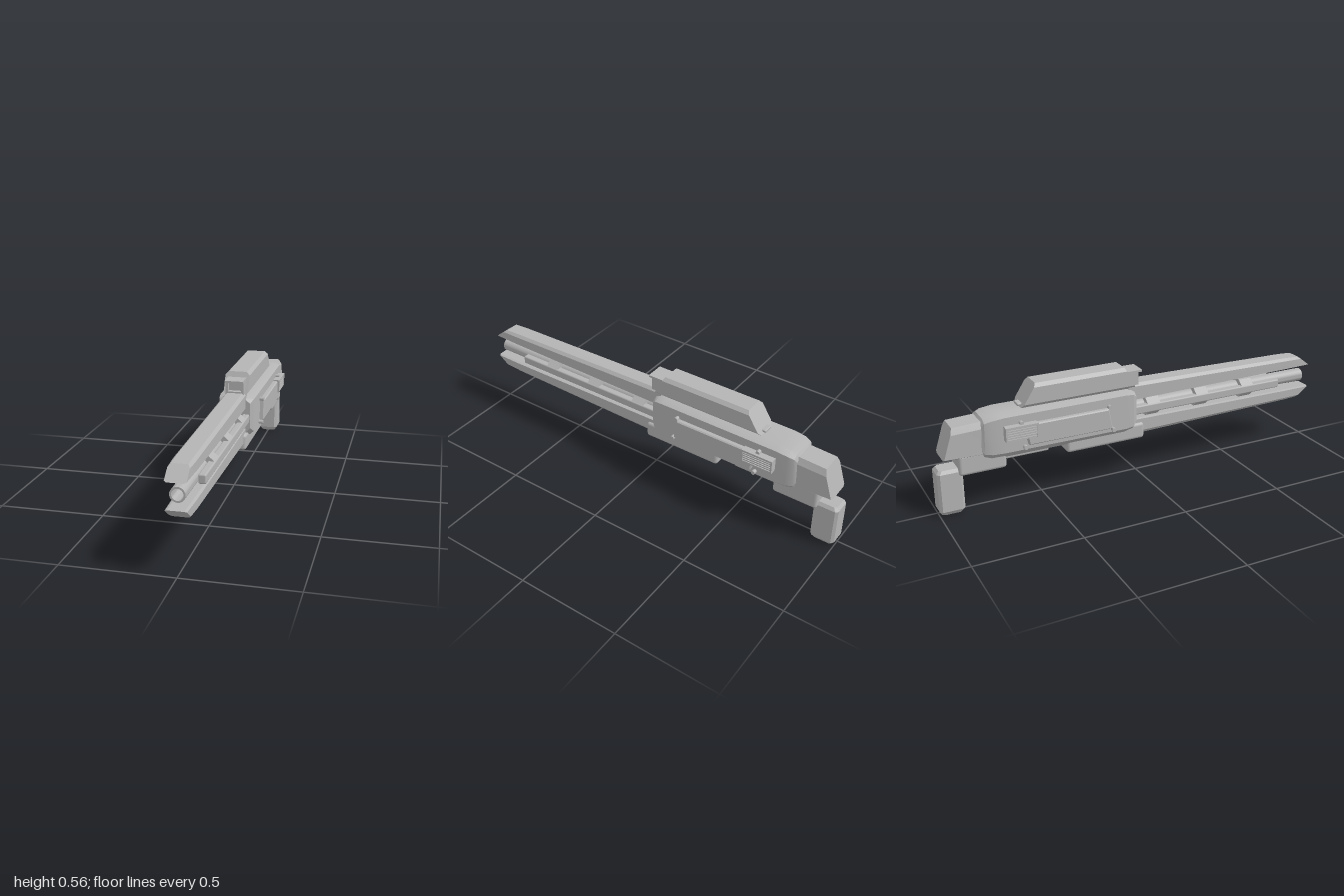
import * as THREE from 'three';
import { toCreasedNormals } from 'three/addons/utils/BufferGeometryUtils.js';
import { RoundedBoxGeometry } from 'three/addons/geometries/RoundedBoxGeometry.js';

// Chamfered section: bottom z, top z, half width, bottom y, top y, x chamfer, top chamfer, bottom chamfer
function section([zb, zt, w, y0, y1, cx, ct, cb]) {
  const n = w - cx;
  return [[n, y0], [w, y0 + cb], [w, y1 - ct], [n, y1], [-n, y1], [-w, y1 - ct], [-w, y0 + cb], [-n, y0]]
    .map(([x, y]) => [x, y, zb + (zt - zb) * (y - y0) / (y1 - y0)]);
}

// Skin over sections listed from back to front, with both ends capped
function loft(list, crease = 0.3) {
  const rings = list.map(section), pos = [];
  const tri = (a, b, c) => pos.push(...a, ...b, ...c);
  for (let k = 0; k < rings.length - 1; k++) {
    const a = rings[k], b = rings[k + 1];
    for (let i = 0; i < 8; i++) {
      const j = (i + 1) % 8;
      tri(a[i], a[j], b[j]);
      tri(a[i], b[j], b[i]);
    }
  }
  const back = rings[0], front = rings[rings.length - 1];
  for (let i = 1; i < 7; i++) {
    tri(back[0], back[i + 1], back[i]);
    tri(front[0], front[i], front[i + 1]);
  }
  const g = new THREE.BufferGeometry();
  g.setAttribute('position', new THREE.Float32BufferAttribute(pos, 3));
  return toCreasedNormals(g, crease);
}

export function createModel() {
  const model = new THREE.Group();
  model.name = 'longGun';
  const grey = new THREE.MeshStandardMaterial({ color: 0xb4b4b4 });
  grey.name = 'plainGrey';

  const add = (name, geometry, x = 0, y = 0, z = 0) => {
    const mesh = new THREE.Mesh(geometry, grey);
    mesh.name = name;
    mesh.position.set(x, y, z);
    model.add(mesh);
    return mesh;
  };
  // Box given by its limits, rounded when r > 0
  const box = (name, x0, x1, y0, y1, z0, z1, r = 0) => {
    const size = [x1 - x0, y1 - y0, z1 - z0];
    const g = r ? new RoundedBoxGeometry(...size, 2, r) : new THREE.BoxGeometry(...size);
    return add(name, g, (x0 + x1) / 2, (y0 + y1) / 2, (z0 + z1) / 2);
  };

  // Receiver with softened ends
  add('receiver', loft([
    [-0.797, -0.79, 0.068, 0.262, 0.425, 0.025, 0.02, 0.03],
    [-0.785, -0.78, 0.078, 0.245, 0.438, 0.03, 0.016, 0.03],
    [-0.75, -0.75, 0.088, 0.236, 0.446, 0.035, 0.014, 0.035],
    [-0.69, -0.69, 0.09, 0.234, 0.452, 0.038, 0.014, 0.035],
    [-0.09, -0.09, 0.09, 0.234, 0.452, 0.038, 0.014, 0.035],
    [-0.05, -0.05, 0.085, 0.242, 0.446, 0.036, 0.014, 0.03],
    [-0.03, -0.03, 0.072, 0.262, 0.435, 0.025, 0.02, 0.03],
  ], 0.45));

  // Upper and lower barrel rails with slanted noses
  add('upperRail', loft([
    [-0.06, -0.06, 0.05, 0.387, 0.472, 0.014, 0.014, 0.004],
    [0.86, 0.86, 0.049, 0.399, 0.458, 0.013, 0.013, 0.004],
    [1.0, 0.93, 0.045, 0.4, 0.454, 0.01, 0.012, 0.004],
  ], 0.1));
  add('lowerRail', loft([
    [-0.06, -0.06, 0.05, 0.209, 0.291, 0.012, 0.004, 0.016],
    [0.86, 0.86, 0.049, 0.228, 0.286, 0.012, 0.004, 0.014],
    [0.93, 1.0, 0.045, 0.231, 0.285, 0.01, 0.004, 0.012],
  ], 0.1));

  // Hollow barrel
  const profile = [[0.033, -0.05], [0.033, 0.97], [0.025, 0.97], [0.025, 0.8], [0, 0.8]]
    .map(([r, z]) => new THREE.Vector2(r, z));
  const barrel = new THREE.LatheGeometry(profile, 32);
  barrel.rotateX(Math.PI / 2);
  add('barrel', toCreasedNormals(barrel, 0.6), 0, 0.34, 0);

  // Collars around the barrel
  for (const z of [0.07, 0.34, 0.605]) {
    add('barrelCollar', loft([
      [z - 0.034, z - 0.034, 0.066, 0.295, 0.386, 0.032, 0.028, 0.028],
      [z + 0.034, z + 0.034, 0.066, 0.295, 0.386, 0.032, 0.028, 0.028],
    ]));
  }

  // Top housing with sloping ends
  add('topHousing', loft([
    [-0.595, -0.525, 0.06, 0.452, 0.56, 0.015, 0.016, 0.016],
    [-0.025, -0.08, 0.06, 0.452, 0.56, 0.015, 0.016, 0.016],
  ]));
  box('housingCatch', -0.025, 0.025, 0.455, 0.468, -0.606, -0.57, 0.005);

  // Framed sight in front of the housing
  const frame = new THREE.Shape();
  frame.moveTo(-0.044, 0.455).lineTo(0.044, 0.455).lineTo(0.044, 0.527).lineTo(-0.044, 0.527).closePath();
  const opening = new THREE.Path();
  opening.moveTo(-0.033, 0.478).lineTo(-0.033, 0.519).lineTo(0.033, 0.519).lineTo(0.033, 0.478).closePath();
  frame.holes.push(opening);
  add('sightFrame', new THREE.ExtrudeGeometry(frame, { depth: 0.03, bevelEnabled: false }), 0, 0, -0.035);
  box('sightBody', -0.044, 0.044, 0.455, 0.527, -0.09, -0.03);
  box('sightCap', -0.045, 0.045, 0.525, 0.535, -0.07, 0.014);

  // Rear block and grip
  add('rearBlock', loft([
    [-0.968, -0.92, 0.066, 0.272, 0.421, 0.014, 0.03, 0.008],
    [-0.775, -0.775, 0.068, 0.265, 0.427, 0.016, 0.03, 0.01],
  ]));
  const grip = loft([
    [0, 0, 0.036, 0.893, 0.987, 0.01, 0.012, 0.012],
    [0.02, 0.02, 0.049, 0.881, 0.999, 0.012, 0.012, 0.012],
    [0.205, 0.205, 0.049, 0.881, 0.999, 0.012, 0.012, 0.012],
    [0.22, 0.22, 0.038, 0.893, 0.987, 0.01, 0.012, 0.012],
  ]);
  grip.rotateX(-Math.PI / 2);
  add('grip', grip);

  // Blocks under the receiver
  box('frontUnderBlock', -0.062, 0.062, 0.19, 0.27, -0.385, 0.018, 0.015);
  box('rearUnderBlock', -0.062, 0.062, 0.184, 0.285, -0.902, -0.68, 0.015);
  box('underPlate', -0.045, 0.045, 0.218, 0.25, -0.7, -0.47, 0.008);

  for (const s of [1, -1]) {
    const side = (name, x0, x1, ...rest) => box(name, Math.min(s * x0, s * x1), Math.max(s * x0, s * x1), ...rest);

    // Side rod along the barrel
    side('sideRod', 0.034, 0.068, 0.319, 0.361, -0.05, 0.795, 0.007);

    // Slanted side panel
    const panel = new THREE.Shape(
      [[-0.178, 0.299], [-0.195, 0.39], [-0.6, 0.39], [-0.582, 0.299]]
        .map(([z, y]) => new THREE.Vector2(-s * z, y)));
    const plate = new THREE.ExtrudeGeometry(panel, {
      depth: 0.022, bevelThickness: 0.006, bevelSize: 0.005, bevelSegments: 1,
    });
    plate.rotateY(s * Math.PI / 2);
    add('sidePanel', plate, s * 0.085, 0, 0);

    // Vent frame with slats
    side('ventBase', 0.08, 0.116, 0.333, 0.4, -0.698, -0.543);
    side('ventTop', 0.08, 0.123, 0.39, 0.4, -0.698, -0.543);
    side('ventBottom', 0.08, 0.121, 0.333, 0.341, -0.698, -0.543);
    side('ventFrontEnd', 0.08, 0.123, 0.333, 0.4, -0.551, -0.543);
    side('ventBackEnd', 0.08, 0.123, 0.333, 0.4, -0.698, -0.69);
    for (let i = 0; i < 4; i++) {
      const y = 0.346 + i * 0.011;
      side('ventSlat', 0.1, 0.121, y, y + 0.006, -0.69, -0.551);
    }

    // Corner bolts
    for (const [z, y] of [[-0.165, 0.284], [-0.183, 0.399], [-0.602, 0.284], [-0.617, 0.404]]) {
      const bolt = new THREE.CylinderGeometry(0.01, 0.01, 0.03, 12);
      bolt.rotateZ(Math.PI / 2);
      add('panelBolt', bolt, s * 0.095, y, z);
    }
  }
  return model;
}
